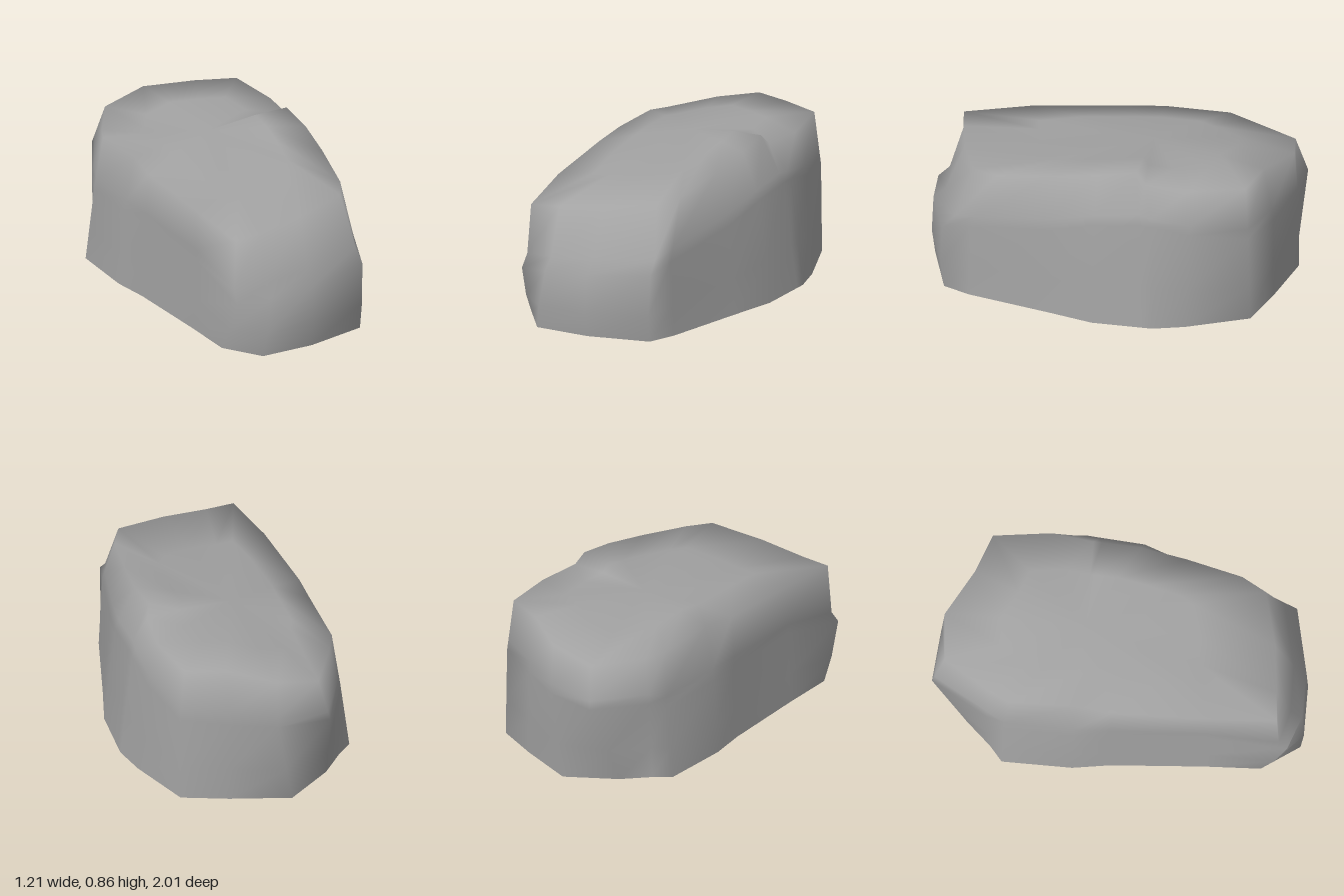
import * as THREE from 'three';

// Outlines run from the front right corner along the front, left side, back and right side.
// Footprint on the ground: [x, z]
const BASE = [
  [-.41, .8], [-.25, .99], [.05, .96], [.38, .85], [.44, .7], [.54, .25], [.6, 0], [.6, -.27], [.6, -.33], [.55, -.5],
  [.4, -.83], [.15, -.91], [-.18, -.99], [-.42, -.8], [-.53, -.66], [-.61, -.58], [-.58, -.2], [-.53, 0], [-.45, .5],
].map(([x, z]) => [x, 0, z]);

// Widest bulge of the walls: [x, y, z]
const WAIST = [
  [-.38, .3, .94], [-.2, .33, .99], [.05, .35, .97], [.39, .38, .86], [.42, .42, .7], [.5, .5, .25], [.54, .58, 0],
  [.53, .6, -.25], [.53, .6, -.32], [.5, .55, -.52], [.4, .5, -.82], [.15, .48, -.91], [-.1, .48, -1], [-.39, .48, -1],
  [-.53, .45, -.68], [-.56, .4, -.58], [-.55, .42, -.2], [-.51, .42, 0], [-.43, .4, .5],
];

// Upper edge of the walls: [x, y, z]
const RIM = [
  [-.36, .65, .88], [-.2, .66, .85], [.05, .69, .8], [.33, .73, .7], [.39, .74, .56], [.42, .79, .25], [.43, .83, 0],
  [.41, .86, -.21], [.43, .8, -.26], [.44, .79, -.5], [.37, .8, -.8], [.15, .8, -.86], [-.1, .76, -.98],
  [-.34, .7, -.94], [-.48, .7, -.66], [-.52, .71, -.55], [-.49, .73, -.2], [-.49, .71, 0], [-.43, .69, .5],
];

const CROWN = [-.05, .8, -.22];

const mix = (a, b, t) => a.map((v, k) => v + (b[k] - v) * t);
const blend = (A, B, t) => A.map((p, i) => mix(p, B[i], t));

// Stacks closed rings into one smooth skin with a rounded top and a crisp flat underside
function skin(rings, bottom, top) {
  const n = rings[0].length;
  const points = [...rings.flat(), ...rings[0], bottom, top];
  const index = [];
  const last = (rings.length - 1) * n, foot = last + n, b = foot + n, t = b + 1;
  for (let i = 0; i < n; i++) {
    const j = (i + 1) % n;
    for (let r = 0; r < last; r += n) {
      index.push(r + i, r + j, r + n + j, r + i, r + n + j, r + n + i);
    }
    index.push(b, foot + j, foot + i, t, last + i, last + j);
  }
  const geometry = new THREE.BufferGeometry();
  geometry.setAttribute('position', new THREE.Float32BufferAttribute(points.flat(), 3));
  geometry.setIndex(index);
  geometry.computeVertexNormals();
  return geometry;
}

export function createModel() {
  const group = new THREE.Group();
  group.name = 'boulder';

  // Lower walls: the front rolls under toward the ground
  const lower = blend(BASE, WAIST, .4).map(([x, y, z]) => [x, y, z > .8 ? z + .015 : z]);

  // Shelf: the front face steps back just above the bulge
  const ledge = blend(WAIST, RIM, .2).map(([x, y, z]) => [x, y, z > .8 ? z - .035 : z]);

  // Top surface: one gently crowned ring toward the middle
  const topRing = blend(RIM, RIM.map(() => CROWN), .4).map(([x, y, z]) => [x, y + .01, z]);

  const rock = new THREE.Mesh(
    skin([BASE, lower, WAIST, ledge, RIM, topRing], [0, 0, 0], CROWN),
    new THREE.MeshStandardMaterial({ color: 0xa2a2a2 }),
  );
  rock.name = 'rock';
  group.add(rock);
  return group;
}
